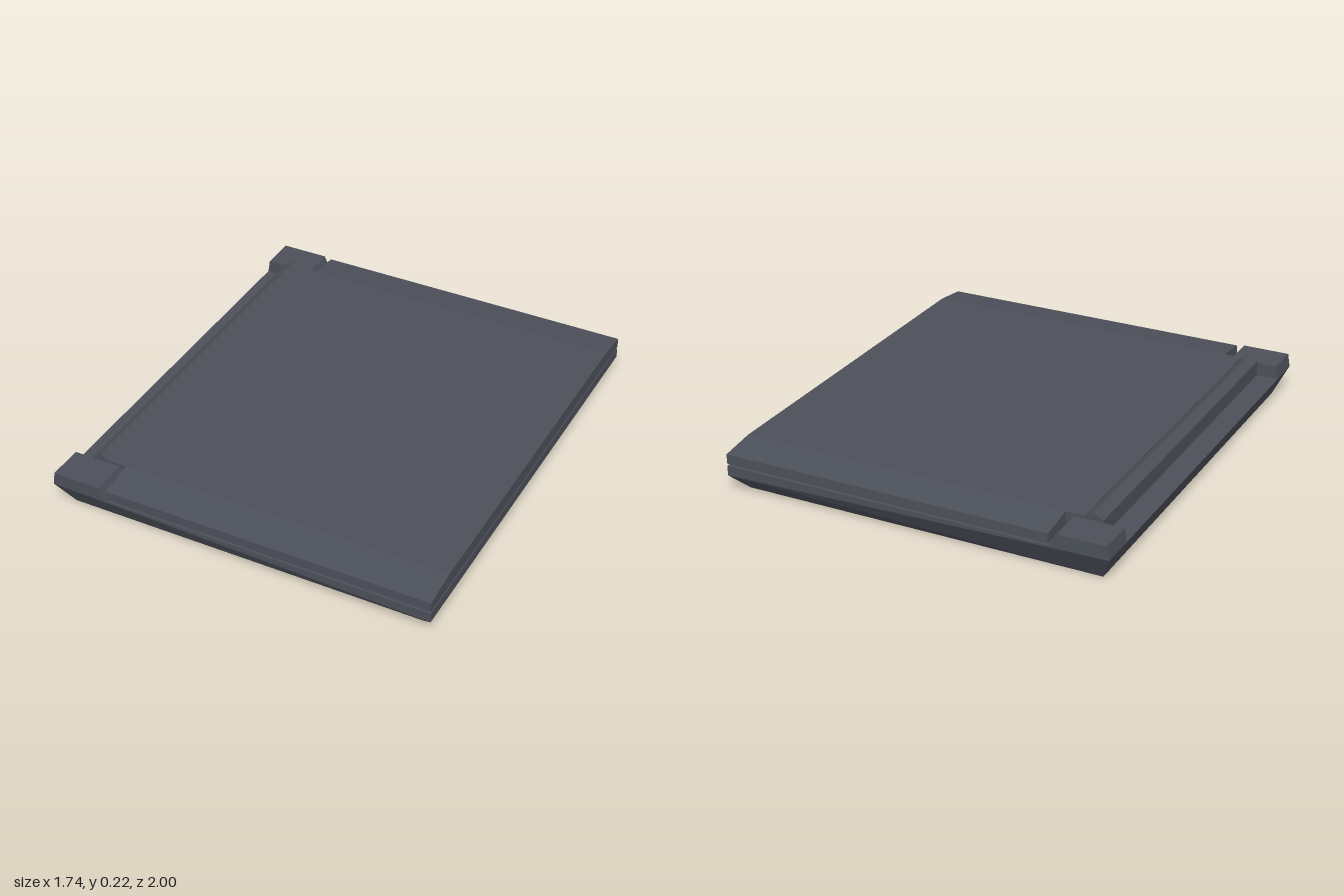
import * as THREE from 'three';
import { ConvexGeometry } from 'three/addons/geometries/ConvexGeometry.js';

const material = new THREE.MeshStandardMaterial({ color: 0x4c5059, flatShading: true });

function part(name, geometry) {
  const mesh = new THREE.Mesh(geometry, material);
  mesh.name = name;
  return mesh;
}

// Flat-sided solid around a list of [x, y, z] corners
const solid = (corners) => new ConvexGeometry(corners.map((c) => new THREE.Vector3(...c)));

// Prism along z from a profile in the x-y plane
function prism(profile, halfDepth) {
  const shape = new THREE.Shape(profile.map(([x, y]) => new THREE.Vector2(x, y)));
  const geometry = new THREE.ExtrudeGeometry(shape, { depth: 2 * halfDepth, bevelEnabled: false });
  return geometry.translate(0, 0, -halfDepth);
}

export function createModel() {
  const group = new THREE.Group();
  group.name = 'closedLaptop';

  // Lower case: undercut sides, with a short upright wall that fades toward the hinge
  const base = [];
  for (const s of [-1, 1]) {
    base.push(
      [-0.815, 0, s * 0.93], [0.81, 0, s * 0.93],
      [0.87, 0.075, s], [0.87, 0.12, s], [-0.87, 0.12, s],
    );
  }
  group.add(part('base', solid(base)));

  // Hinge barrel with a ridged top, between the corner blocks
  group.add(part('hingeBar', prism(
    [[-0.77, 0.11], [-0.69, 0.11], [-0.69, 0.19], [-0.73, 0.215], [-0.77, 0.19]], 0.84)));

  // Lid, held just clear of the base
  const lid = new THREE.Group();
  lid.name = 'lid';
  lid.add(part('lidPanel', prism(
    [[-0.69, 0.13], [0.87, 0.13], [0.87, 0.193], [-0.69, 0.193]], 0.84)));
  group.add(lid);

  for (const s of [-1, 1]) {
    const side = s > 0 ? 'front' : 'back';

    // Sloping lid edge, cut short to clear the corner block
    const edge = [];
    for (const x of [-0.61, 0.87]) {
      edge.push([x, 0.13, s * 0.84], [x, 0.193, s * 0.84], [x, 0.13, s], [x, 0.173, s]);
    }
    lid.add(part(side + 'LidEdge', solid(edge)));

    // Raised corner block beside the hinge
    const block = [];
    for (const z of [0.84, 1]) {
      block.push(
        [-0.87, 0.12, s * z], [-0.86, 0.18, s * z],
        [-0.645, 0.18, s * z], [-0.615, 0.12, s * z],
      );
    }
    group.add(part(side + 'CornerBlock', solid(block)));
  }

  return group;
}
